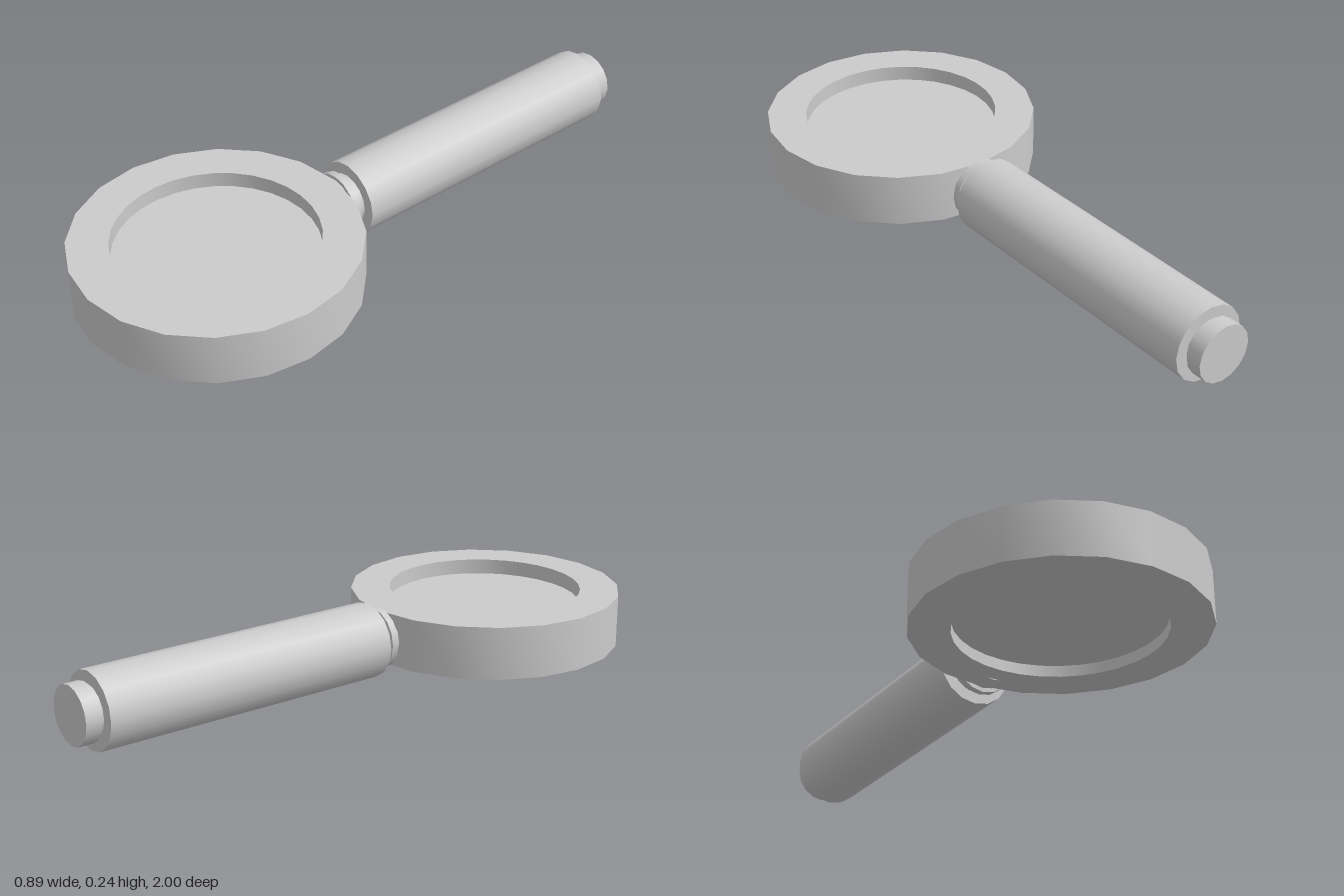
import * as THREE from 'three';
import { toCreasedNormals } from 'three/addons/utils/BufferGeometryUtils.js';

const material = new THREE.MeshStandardMaterial({ color: 0xcccccc });
const RING_Z = 0.557, AXIS_X = 0.01, AXIS_Y = 0.123;

function circlePoints(radius, sides) {
  return Array.from({ length: sides }, (_, i) => {
    const a = (i / sides) * Math.PI * 2;
    return new THREE.Vector2(radius * Math.cos(a), radius * Math.sin(a));
  });
}

function addMesh(parent, name, geometry, x, y, z) {
  const mesh = new THREE.Mesh(geometry, material);
  mesh.name = name;
  mesh.position.set(x, y, z);
  parent.add(mesh);
}

// Turned section lying along z, between two z positions
function addTurned(parent, name, radius, z0, z1) {
  const geometry = new THREE.CylinderGeometry(radius, radius, z1 - z0, 16);
  geometry.rotateX(Math.PI / 2);
  addMesh(parent, name, geometry, AXIS_X, AXIS_Y, (z0 + z1) / 2);
}

export function createModel() {
  const model = new THREE.Group();
  model.name = 'magnifyingGlass';

  // Thick ring around the lens
  const outline = new THREE.Shape(circlePoints(0.443, 20));
  outline.holes.push(new THREE.Path(circlePoints(0.315, 32)));
  const frame = new THREE.ExtrudeGeometry(outline, { depth: 0.17, bevelEnabled: false });
  frame.rotateX(-Math.PI / 2);
  addMesh(model, 'lensFrame', toCreasedNormals(frame, 0.6), 0, 0.04, RING_Z);

  // Lens recessed on both sides
  addMesh(model, 'lens', new THREE.CylinderGeometry(0.315, 0.315, 0.084, 32), 0, 0.118, RING_Z);

  // Handle with its collar and end cap
  const handle = new THREE.Group();
  handle.name = 'handle';
  model.add(handle);
  addTurned(handle, 'frameStub', 0.087, 0.11, 0.18);
  addTurned(handle, 'collar', 0.1, 0.09, 0.113);
  addTurned(handle, 'neck', 0.083, 0.06, 0.092);
  addTurned(handle, 'grip', 0.121, -0.938, 0.066);
  addTurned(handle, 'capNeck', 0.082, -0.952, -0.93);
  addTurned(handle, 'endCap', 0.092, -1, -0.949);

  return model;
}
